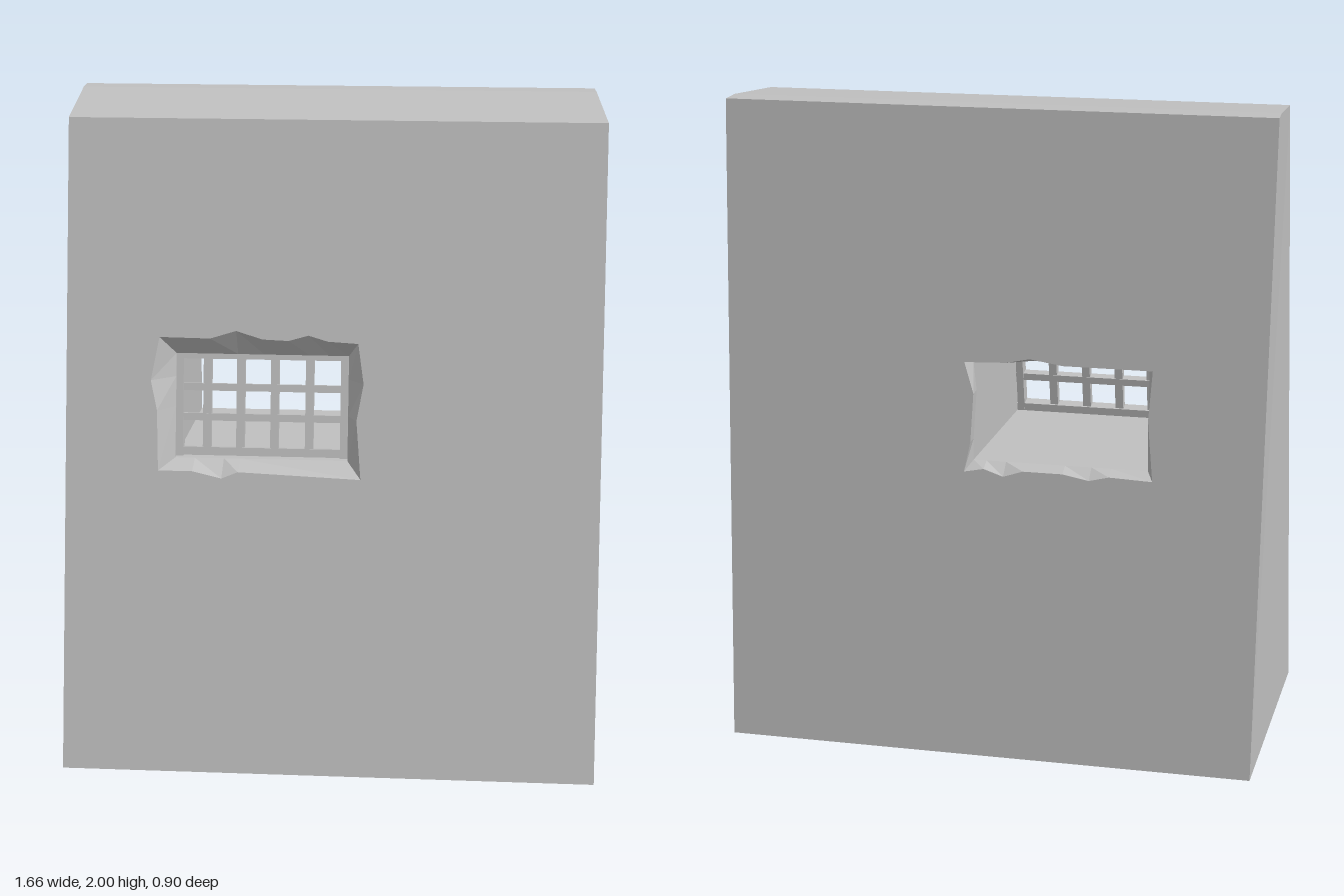
import * as THREE from 'three';

const stone = new THREE.MeshStandardMaterial({ color: 0xc0c0c0, flatShading: true });
stone.name = 'grey stone';

// sloping front face and nearly upright back face
const frontZ = (y) => 0.45 - 0.194 * y;
const backZ = (y) => -0.45 + 0.005 * y;

// limits of the window tunnel
const inner = { l: -0.47, r: 0.06, b: 0.935, t: 1.25 };
const clamp = THREE.MathUtils.clamp;
const toInner = ([x, y]) => [clamp(x, inner.l, inner.r), clamp(y, inner.b, inner.t)];

// rough window rims, counterclockwise from the lower left corner, with chips
const frontRim = [
  [-0.515, 0.91], [-0.41, 0.91], [-0.32, 0.89], [-0.27, 0.91], [0.105, 0.895],
  [0.09, 1.07], [0.11, 1.18], [0.092, 1.3],
  [0.0, 1.305], [-0.06, 1.322], [-0.12, 1.305], [-0.2, 1.308], [-0.28, 1.332], [-0.36, 1.308],
  [-0.515, 1.31], [-0.54, 1.18], [-0.52, 1.09],
];
const backRim = [
  [-0.49, 0.915], [-0.36, 0.92], [-0.3, 0.905], [-0.22, 0.92], [-0.1, 0.92], [-0.04, 0.9], [0.02, 0.92],
  [0.08, 0.908], [0.06, 1.0], [0.05, 1.15], [0.077, 1.245],
  [-0.05, 1.25], [-0.12, 1.265], [-0.22, 1.25], [-0.487, 1.25], [-0.475, 1.1],
];

function mesh(name, geometry) {
  const m = new THREE.Mesh(geometry, stone);
  m.name = name;
  return m;
}

function fromTriangles(points) {
  const g = new THREE.BufferGeometry();
  g.setAttribute('position', new THREE.Float32BufferAttribute(points.flat(), 3));
  g.computeVertexNormals();
  return g;
}

const quad = (a, b, c, d) => [a, b, c, a, c, d];

// closed band between two loops of equal length, facing inwards
function band(front, back) {
  const tris = [];
  front.forEach((a, i) => {
    const j = (i + 1) % front.length;
    tris.push(a, front[j], back[i], front[j], back[j], back[i]);
  });
  return fromTriangles(tris);
}

// wall face with the window cut out, laid on a sloping plane
function wallFace(outline, rim, zAt, flip) {
  const shape = new THREE.Shape(outline.map(([x, y]) => new THREE.Vector2(x, y)));
  shape.holes.push(new THREE.Path(rim.map(([x, y]) => new THREE.Vector2(x, y)).reverse()));
  const g = new THREE.ShapeGeometry(shape);
  const pos = g.attributes.position;
  for (let i = 0; i < pos.count; i++) pos.setZ(i, zAt(pos.getY(i)));
  if (flip) g.setIndex(Array.from(g.index.array).reverse());
  g.computeVertexNormals();
  return g;
}

export function createModel() {
  const model = new THREE.Group();
  model.name = 'barredWindowWall';

  // wall corners: the back top edge is shifted slightly sideways
  const front = [[-0.8, 0], [0.83, 0], [0.83, 1.96], [-0.8, 1.96]];
  const back = [[-0.8, 0], [0.83, 0], [0.795, 2], [-0.835, 2]];
  const F = front.map(([x, y]) => [x, y, frontZ(y)]);
  const B = back.map(([x, y]) => [x, y, backZ(y)]);
  const midR = [0.8, 2, -0.35], midL = [-0.829, 2, -0.35];

  model.add(mesh('frontWall', wallFace(front, frontRim, frontZ, false)));
  model.add(mesh('backWall', wallFace(back, backRim, backZ, true)));
  model.add(mesh('leftWall', fromTriangles([...quad(F[1], B[1], B[2], F[2]), F[2], B[2], midR])));
  model.add(mesh('rightWall', fromTriangles([...quad(B[0], F[0], F[3], B[3]), F[3], midL, B[3]])));
  model.add(mesh('wallTop', fromTriangles([...quad(F[3], F[2], midR, midL), ...quad(midL, midR, B[2], B[3])])));
  model.add(mesh('wallBase', fromTriangles(quad(B[0], B[1], F[1], F[0]))));

  // window tunnel with chipped bevels at both ends
  const deepFront = ([x, y]) => [x, y, frontZ(y) - 0.06];
  const deepBack = ([x, y]) => [x, y, backZ(y) + 0.04];
  const corners = [[inner.l, inner.b], [inner.r, inner.b], [inner.r, inner.t], [inner.l, inner.t]];
  model.add(mesh('frontWindowBevel', band(
    frontRim.map(([x, y]) => [x, y, frontZ(y)]), frontRim.map((p) => deepFront(toInner(p))))));
  model.add(mesh('windowTunnel', band(corners.map(deepFront), corners.map(deepBack))));
  model.add(mesh('backWindowBevel', band(
    backRim.map((p) => deepBack(toInner(p))), backRim.map(([x, y]) => [x, y, backZ(y)]))));

  // window grille, parallel to the sloping front
  const grille = new THREE.Group();
  grille.name = 'windowGrille';
  const cx = -0.205, cy = 1.0925;
  grille.position.set(cx, cy, frontZ(cy) - 0.085);
  grille.rotation.x = -Math.atan(0.194);
  const bar = (name, w, h, d, x, y) => {
    const m = mesh(name, new THREE.BoxGeometry(w, h, d));
    m.position.set(x - cx, y - cy, 0);
    grille.add(m);
  };
  for (const x of [-0.375, -0.272, -0.167, -0.06]) bar('uprightBar', 0.025, 0.31, 0.026, x, cy);
  for (const y of [1.145, 1.053]) bar('crossBar', 0.53, 0.022, 0.03, cx, y);
  bar('frameRight', 0.022, 0.32, 0.04, -0.459, cy);
  bar('frameLeft', 0.022, 0.32, 0.04, 0.047, cy);
  bar('frameTop', 0.53, 0.02, 0.038, cx, 1.242);
  bar('frameBottom', 0.53, 0.025, 0.038, cx, 0.948);
  model.add(grille);

  return model;
}
